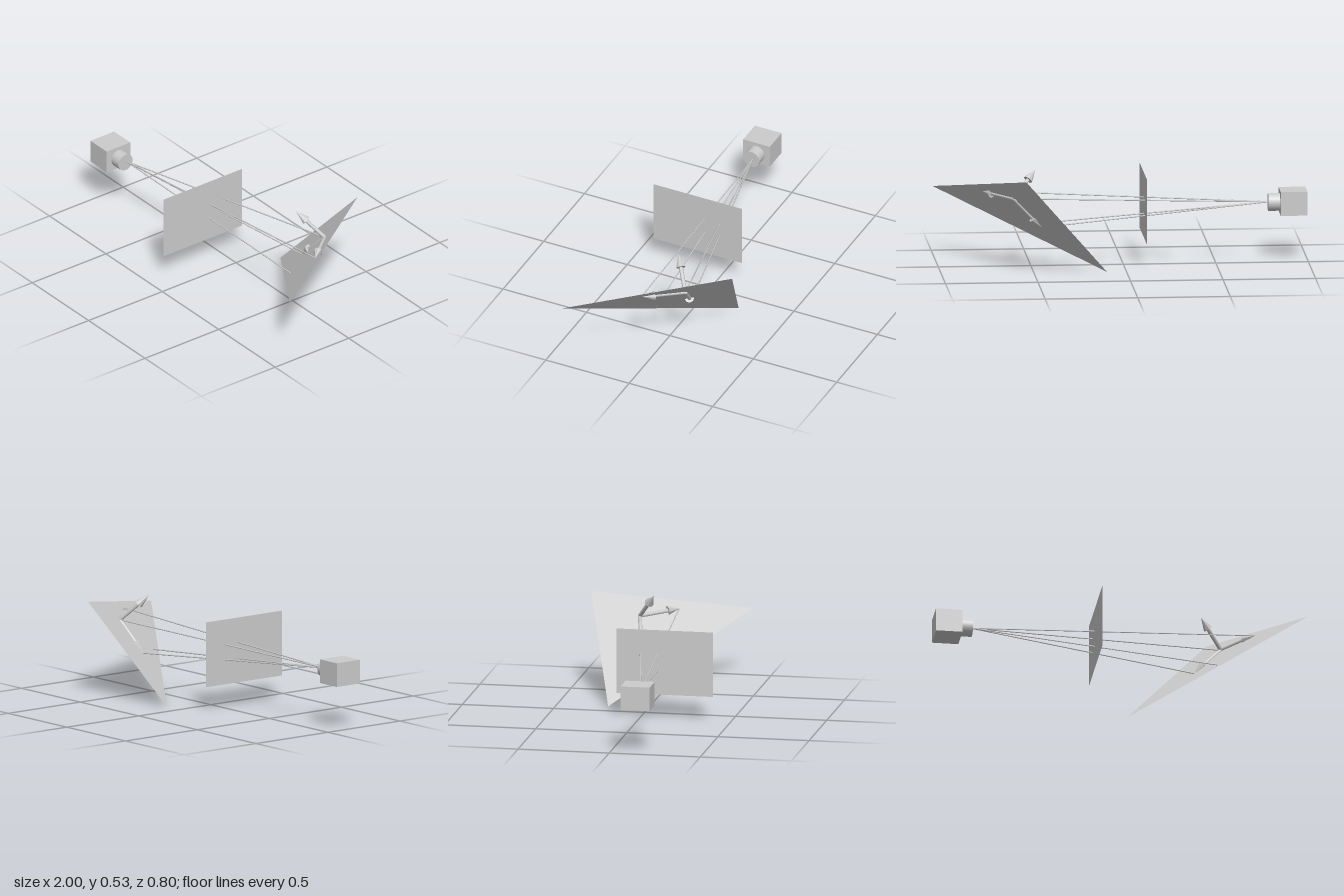
import * as THREE from 'three';

const grey = new THREE.MeshStandardMaterial({ color: 0xcccccc });
const greyFlat = new THREE.MeshStandardMaterial({ color: 0xcccccc, flatShading: true });
const greyThin = new THREE.MeshStandardMaterial({ color: 0xcccccc, side: THREE.DoubleSide });
const v = (x, y, z) => new THREE.Vector3(x, y, z);
const UP = v(0, 1, 0);

function addMesh(parent, name, geometry, material) {
  const mesh = new THREE.Mesh(geometry, material);
  mesh.name = name;
  parent.add(mesh);
  return mesh;
}

// Cylinder or cone running from one point to another
function addRod(parent, name, from, to, rStart, rEnd, sides, material) {
  const dir = to.clone().sub(from);
  const mesh = addMesh(parent, name,
    new THREE.CylinderGeometry(rEnd, rStart, dir.length(), sides), material);
  mesh.position.copy(from).lerp(to, 0.5);
  mesh.quaternion.setFromUnitVectors(UP, dir.normalize());
  return mesh;
}

function addArrow(parent, name, from, tip) {
  const arrow = new THREE.Group();
  arrow.name = name;
  const neck = tip.clone().addScaledVector(tip.clone().sub(from).normalize(), -0.073);
  addRod(arrow, name + 'Shaft', from, neck, 0.011, 0.011, 10, grey);
  addRod(arrow, name + 'Head', neck, tip, 0.026, 0, 8, greyFlat);
  parent.add(arrow);
}

export function createModel() {
  const model = new THREE.Group();
  model.name = 'cameraProjectionDiagram';

  // Camera: box body with a short lens barrel
  const camera = new THREE.Group();
  camera.name = 'cameraUnit';
  const body = addMesh(camera, 'cameraBody', new THREE.BoxGeometry(0.144, 0.13, 0.16), grey);
  body.position.set(-0.928, 0.306, 0.142);
  addRod(camera, 'cameraLens', v(-0.857, 0.304, 0.142), v(-0.793, 0.304, 0.142), 0.048, 0.048, 24, grey);
  model.add(camera);

  // Upright image plane between the camera and the surface
  const plane = addMesh(model, 'imagePlane', new THREE.PlaneGeometry(0.53, 0.356), greyThin);
  plane.rotation.y = Math.PI / 2;
  plane.position.set(-0.118, 0.307, 0.135);

  // Tilted triangular surface
  const triangle = new THREE.BufferGeometry().setFromPoints(
    [v(0.105, 0, -0.22), v(0.555, 0.53, -0.4), v(1, 0.37, 0.4)]);
  triangle.computeVertexNormals();
  addMesh(model, 'triangleSurface', triangle, greyThin);

  // Three axis arrows: two lying in the surface, one along its normal
  const origin = v(0.602, 0.393, -0.142);
  const tipU = v(0.759, 0.405, 0.043);
  const tipV = v(0.449, 0.228, -0.104);
  const tipN = v(0.479, 0.533, -0.042);
  addArrow(model, 'firstSurfaceArrow', origin, tipU);
  addArrow(model, 'secondSurfaceArrow', origin, tipV);
  addArrow(model, 'normalArrow', origin, tipN);

  // Sight rays from the lens to points on the surface
  const eye = v(-0.795, 0.307, 0.134);
  const targets = [origin, tipU, tipV, v(0.555, 0.214, 0.052)];
  targets.forEach((t, i) => addRod(model, 'ray' + (i + 1), eye, t, 0.0035, 0.0035, 6, grey));

  return model;
}
